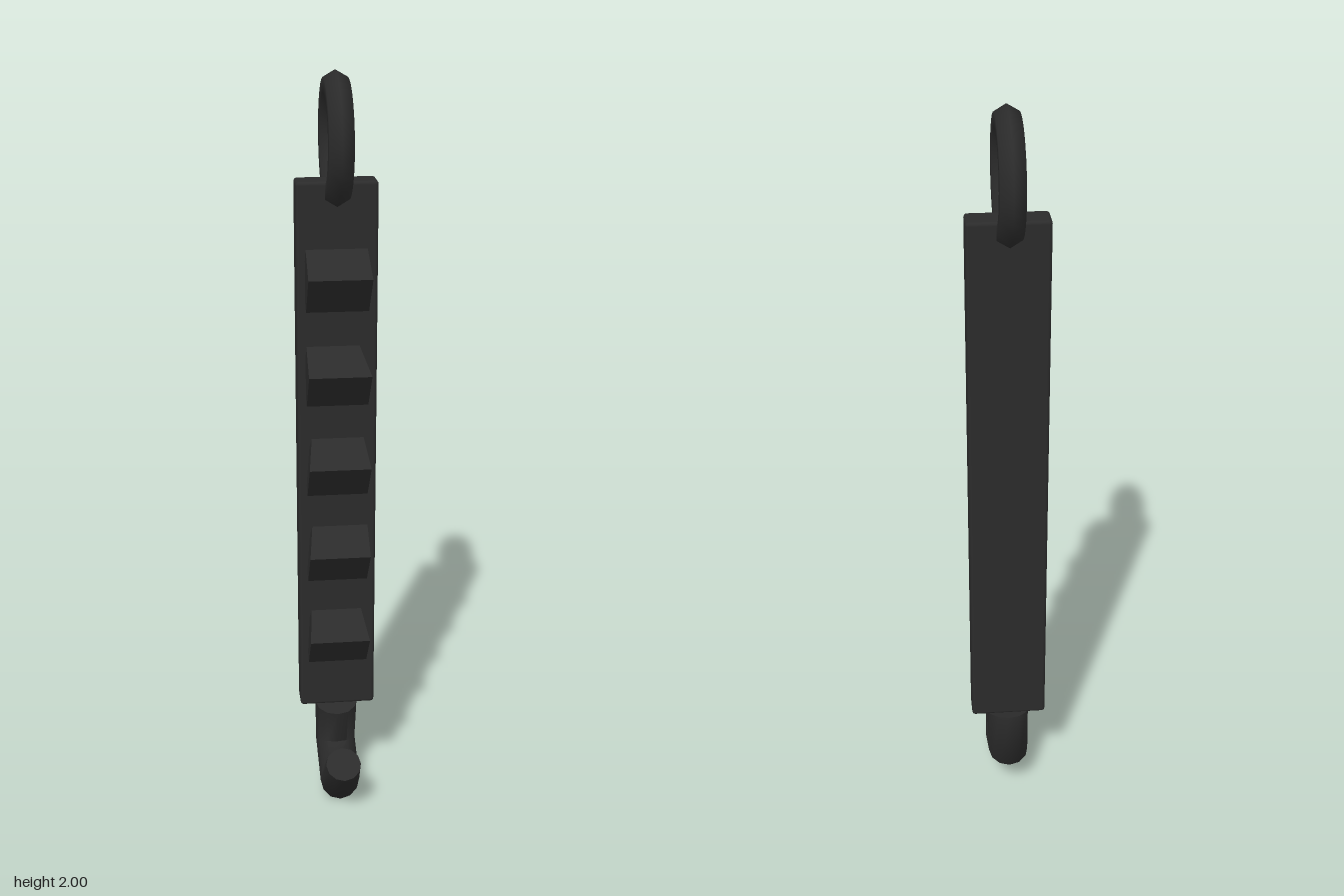
import * as THREE from 'three';
import { toCreasedNormals } from 'three/addons/utils/BufferGeometryUtils.js';
import { RoundedBoxGeometry } from 'three/addons/geometries/RoundedBoxGeometry.js';

const iron = new THREE.MeshStandardMaterial({ color: 0x2b2b2b });
iron.name = 'dark iron';

function addPart(group, name, geometry, x = 0, y = 0, z = 0) {
  const mesh = new THREE.Mesh(geometry, iron);
  mesh.name = name;
  mesh.position.set(x, y, z);
  group.add(mesh);
  return mesh;
}

// Bent tube lofted through mitred ellipses; each is [inner z, inner y, outer z, outer y, half width]
function hookGeometry(sections, sides = 12) {
  const pos = [];
  const index = [];
  const centres = [];
  for (const [iz, iy, oz, oy, w] of sections) {
    const cy = (iy + oy) / 2, cz = (iz + oz) / 2;
    centres.push([0, cy, cz]);
    for (let j = 0; j < sides; j++) {
      const a = (j / sides) * Math.PI * 2;
      pos.push(w * Math.sin(a), cy + (iy - cy) * Math.cos(a), cz + (iz - cz) * Math.cos(a));
    }
  }
  const last = sections.length - 1;
  const start = pos.length / 3;
  pos.push(...centres[0], ...centres[last]);
  for (let j = 0; j < sides; j++) {
    const k = (j + 1) % sides;
    for (let i = 0; i < last; i++) {
      const a = i * sides + j, b = i * sides + k;
      index.push(a, a + sides, b, b, a + sides, b + sides);
    }
    index.push(start, j, k, start + 1, last * sides + k, last * sides + j);
  }
  const g = new THREE.BufferGeometry();
  g.setAttribute('position', new THREE.Float32BufferAttribute(pos, 3));
  g.setIndex(index);
  return toCreasedNormals(g, 1.4);
}

// Tooth block whose upper front corners are pulled in by hand-cut amounts
function toothGeometry(trimLeft, trimRight) {
  const g = new THREE.BoxGeometry(0.16, 0.098, 0.128);
  const p = g.attributes.position;
  for (let i = 0; i < p.count; i++) {
    if (p.getY(i) > 0 && p.getZ(i) > 0) {
      p.setX(i, p.getX(i) + (p.getX(i) > 0 ? -trimLeft : trimRight));
    }
  }
  g.computeVertexNormals();
  return g;
}

export function createModel() {
  const model = new THREE.Group();
  model.name = 'toothed hook bar';

  // Flat bar
  addPart(model, 'bar', new RoundedBoxGeometry(0.207, 1.475, 0.076, 2, 0.009), 0, 1.0, -0.037);

  // Hanging ring with a six-sided section
  const ring = addPart(model, 'ring', new THREE.TorusGeometry(0.13, 0.035, 6, 32), 0, 1.835, -0.037);
  ring.rotation.y = Math.PI / 2;

  // Five tilted teeth down the front
  const trims = [[0.005, 0], [0.024, 0], [0.012, 0.012], [0, 0.012], [0.016, 0.008]];
  trims.forEach(([l, r], i) => {
    const tooth = addPart(model, 'tooth' + (i + 1), toothGeometry(l, r), -0.002, 1.495 - i * 0.25, 0.027);
    tooth.rotation.x = -0.905;
  });

  // Bottom hook
  addPart(model, 'hook', hookGeometry([
    [0.021, 0.239, -0.095, 0.262, 0.059],
    [-0.005, 0.133, -0.111, 0.101, 0.056],
    [0.058, 0.117, 0.087, 0.002, 0.055],
    [0.128, 0.196, 0.204, 0.14, 0.048],
  ]));

  return model;
}
